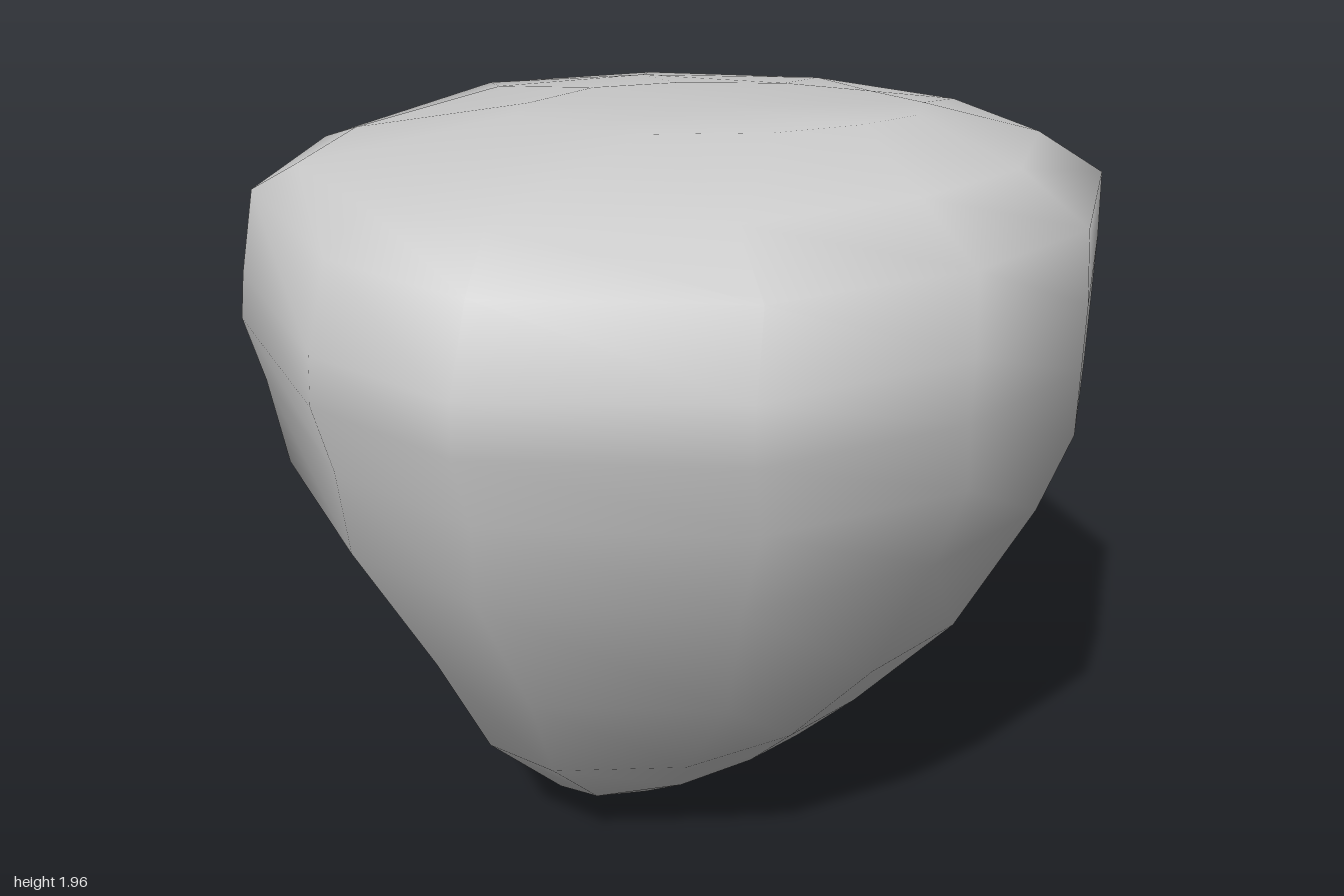
import * as THREE from 'three';

// Plan outline of the boulder, clockwise seen from above: [x, z]
const OUTLINE = [
  [-0.37, -0.99], [0.2, -1], [0.67, -0.71], [0.97, -0.28], [0.98, 0.19], [0.78, 0.54],
  [0.4, 0.87], [-0.19, 0.99], [-0.57, 0.83], [-0.95, 0.4], [-0.98, -0.09], [-0.77, -0.75],
];

// Cross-sections from foot to crown: y, xMin, xMax, zMin, zMax, diagonal squeeze, slope along x, slope along z
const RINGS = [
  [0.04, -0.14, 0.15, -0.33, 0.1, 0.25, 0, 0],
  [0.16, -0.31, 0.36, -0.44, 0.31, 0.3, 0, 0],
  [0.37, -0.53, 0.51, -0.59, 0.51, 0.12, 0, 0],
  [0.7, -0.7, 0.74, -0.76, 0.72, 0.03, 0, 0],
  [1.06, -0.9, 0.91, -0.95, 0.9, 0.02, 0, 0],
  [1.28, -0.945, 0.98, -0.975, 0.95, 0, 0, 0],
  [1.44, -0.985, 0.98, -0.99, 0.975, 0, 0, 0],
  [1.58, -0.96, 0.98, -1, 1, 0, 0.02, 0],
  [1.76, -0.92, 0.965, -0.88, 0.89, 0.02, 0, -0.01],
  [1.855, -0.78, 0.82, -0.6, 0.79, 0.04, 0.04, 0.02],
  [1.92, -0.36, 0.57, -0.26, 0.32, 0, 0.06, 0.05],
];

// Map values linearly onto the range lo..hi
function fit(values, lo, hi) {
  const a = Math.min(...values), b = Math.max(...values);
  return values.map((v) => lo + ((v - a) / (b - a)) * (hi - lo));
}

function boulderGeometry() {
  const n = OUTLINE.length, positions = [], index = [];

  for (const [y, x0, x1, z0, z1, k, slopeX, slopeZ] of RINGS) {
    const xs = fit(OUTLINE.map(([x, z]) => x - k * z), x0, x1);
    const zs = fit(OUTLINE.map(([x, z]) => z - k * x), z0, z1);
    for (let i = 0; i < n; i++) positions.push(xs[i], y + slopeX * xs[i] + slopeZ * zs[i], zs[i]);
  }
  const foot = RINGS.length * n, crown = foot + 1;
  positions.push(0, 0, -0.06, 0.1, 1.92, 0);

  // Sides
  for (let r = 0; r < RINGS.length - 1; r++) {
    for (let i = 0; i < n; i++) {
      const a = r * n + i, b = r * n + ((i + 1) % n);
      index.push(a, a + n, b + n, a, b + n, b);
    }
  }
  // Foot and crown caps
  const last = (RINGS.length - 1) * n;
  for (let i = 0; i < n; i++) {
    const j = (i + 1) % n;
    index.push(foot, i, j, crown, last + j, last + i);
  }

  const geometry = new THREE.BufferGeometry();
  geometry.setAttribute('position', new THREE.Float32BufferAttribute(positions, 3));
  geometry.setIndex(index);
  geometry.computeVertexNormals();
  return geometry;
}

export function createModel() {
  const group = new THREE.Group();
  group.name = 'rock';
  const boulder = new THREE.Mesh(boulderGeometry(), new THREE.MeshStandardMaterial({ color: 0xcccccc }));
  boulder.name = 'boulder';
  group.add(boulder);
  return group;
}
